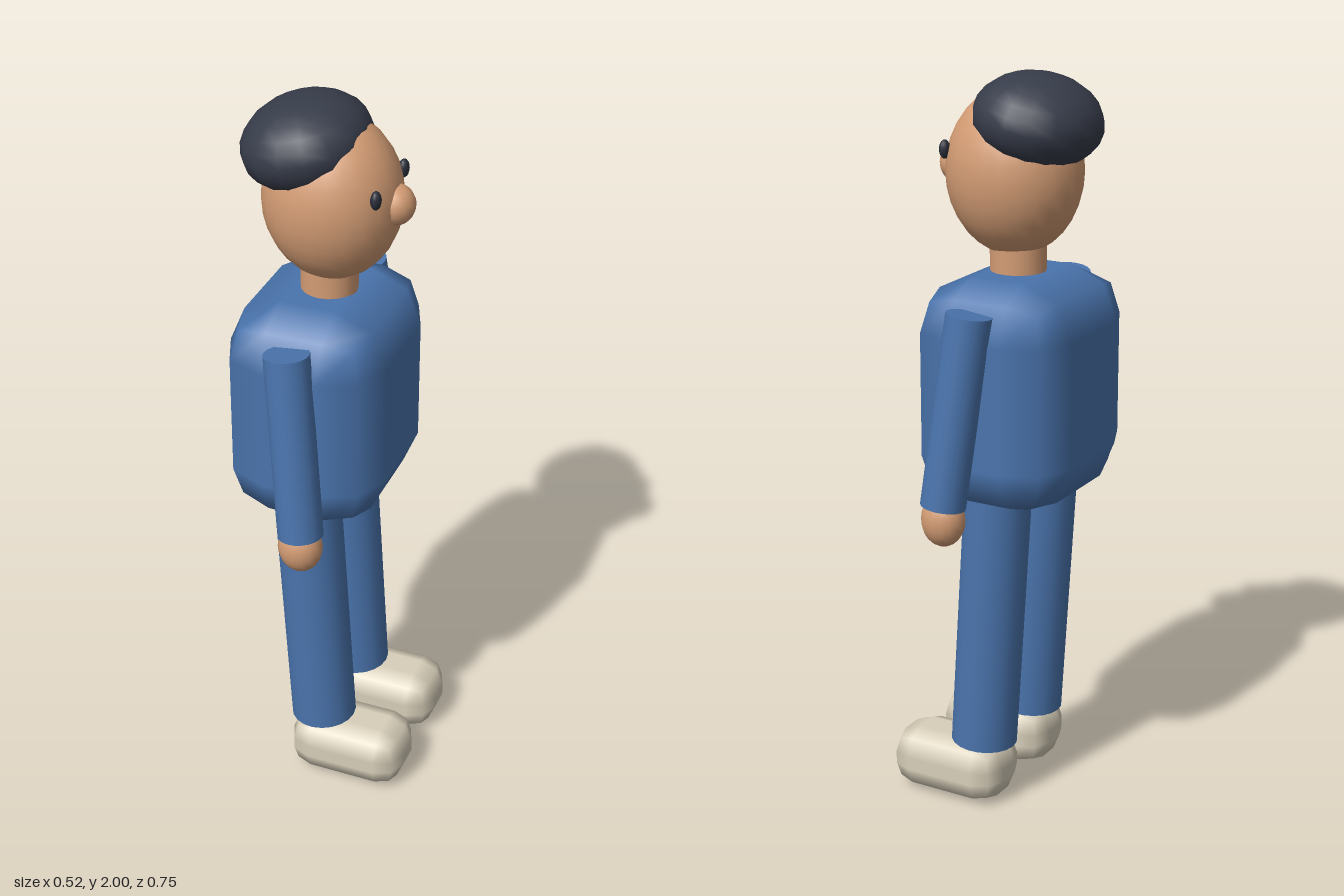
import * as THREE from 'three';
import { RoundedBoxGeometry } from 'three/addons/geometries/RoundedBoxGeometry.js';

export function createModel() {
  const model = new THREE.Group();
  model.name = 'standingFigure';

  const material = (name, color) => {
    const m = new THREE.MeshStandardMaterial({ color });
    m.name = name;
    return m;
  };
  const cloth = material('blueCloth', 0x4a74ad);
  const skin = material('skin', 0xd39c74);
  const hairDark = material('darkHair', 0x373c4a);
  const eyeDark = material('eyeDark', 0x2a2e3a);
  const shoeCream = material('creamShoe', 0xd8cfba);

  const add = (name, geometry, mat, x, y, z) => {
    const mesh = new THREE.Mesh(geometry, mat);
    mesh.name = name;
    mesh.position.set(x, y, z);
    model.add(mesh);
    return mesh;
  };

  // Sphere stretched to three radii
  const ellipsoid = (name, mat, [x, y, z], [rx, ry, rz], around = 24, rings = 16) =>
    add(name, new THREE.SphereGeometry(1, around, rings), mat, x, y, z).scale.set(rx, ry, rz);

  // Straight cylinder between two points
  const limb = (name, mat, from, to, radius) => {
    const a = new THREE.Vector3(...from), b = new THREE.Vector3(...to);
    const axis = b.clone().sub(a);
    const mid = a.clone().add(b).multiplyScalar(0.5);
    const mesh = add(name, new THREE.CylinderGeometry(radius, radius, axis.length(), 20), mat, mid.x, mid.y, mid.z);
    mesh.quaternion.setFromUnitVectors(new THREE.Vector3(0, 1, 0), axis.normalize());
  };

  // Torso and neck
  add('torso', new RoundedBoxGeometry(0.435, 0.62, 0.53, 1, 0.142), cloth, -0.042, 1.17, 0);
  limb('neck', skin, [-0.032, 1.44, 0], [-0.032, 1.6, 0], 0.075);

  // Head, which faces +x
  ellipsoid('head', skin, [-0.022, 1.74, 0], [0.183, 0.22, 0.173]);
  ellipsoid('nose', skin, [0.143, 1.745, 0], [0.054, 0.054, 0.054], 16, 12);
  ellipsoid('hair', hairDark, [-0.09, 1.877, 0], [0.168, 0.12, 0.185], 16, 12);
  model.getObjectByName('hair').rotation.z = 0.21;

  // Paired parts
  for (const [side, s] of [['right', 1], ['left', -1]]) {
    ellipsoid(side + 'Eye', eyeDark, [0.13, 1.797, 0.098 * s], [0.014, 0.025, 0.017], 12, 10);
    limb(side + 'Arm', cloth, [-0.04, 1.42, 0.268 * s], [0.013, 0.912, 0.316 * s], 0.06);
    ellipsoid(side + 'Hand', skin, [0.012, 0.876, 0.317 * s], [0.06, 0.072, 0.053], 16, 12);
    limb(side + 'Leg', cloth, [-0.048, 0.95, 0.13 * s], [0, 0.17, 0.13 * s], 0.091);
    add(side + 'Shoe', new RoundedBoxGeometry(0.337, 0.175, 0.203, 1, 0.07), shoeCream, 0.089, 0.0875, 0.133 * s);
  }

  return model;
}
